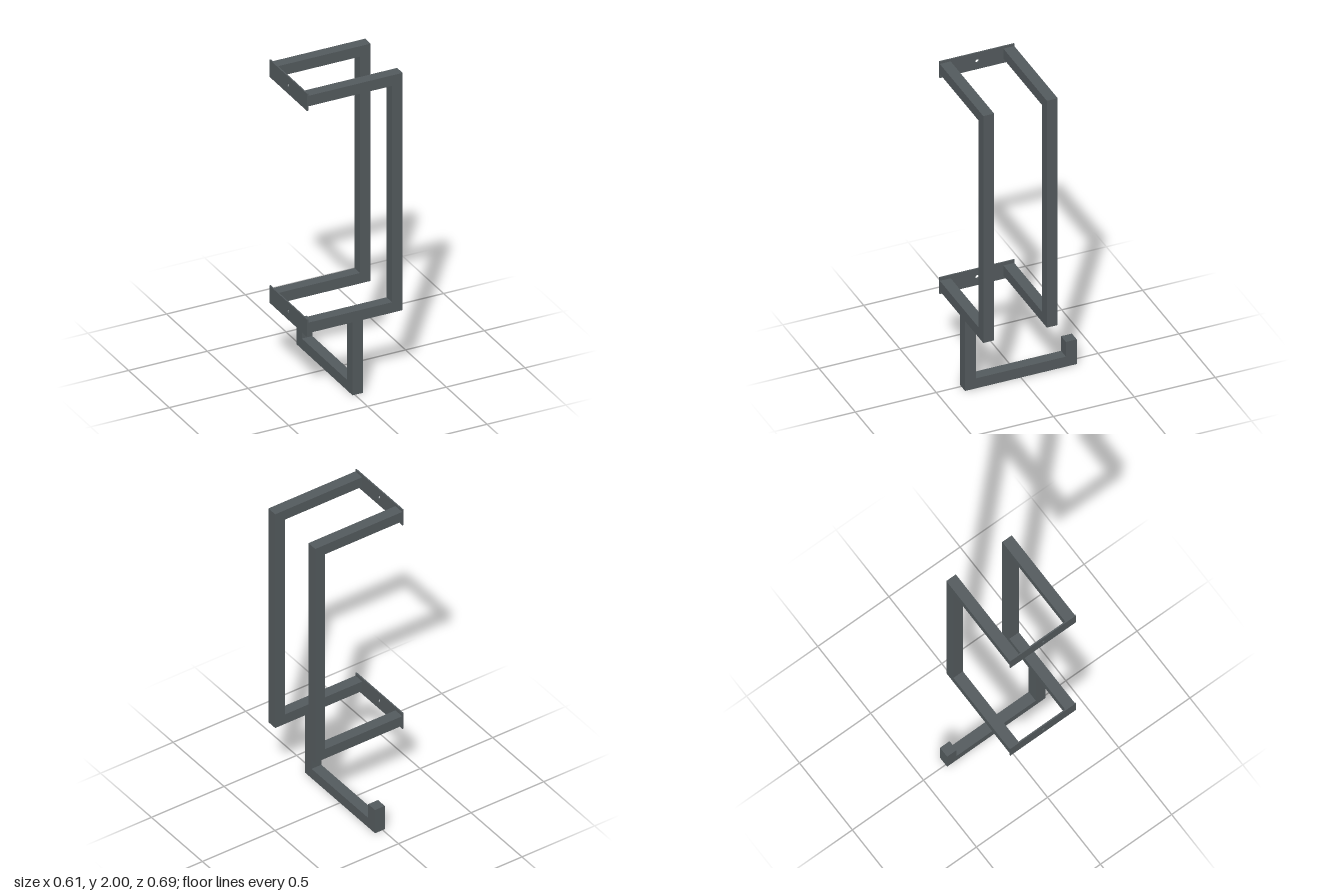
import * as THREE from 'three';

const T = 0.067; // bar thickness

// Extrude an outline, centred through its depth
function slab(points, depth, hole) {
  const shape = new THREE.Shape(points.map(([u, v]) => new THREE.Vector2(u, v)));
  if (hole) {
    const path = new THREE.Path();
    path.absarc(hole.u, hole.v, hole.r, 0, Math.PI * 2, true);
    shape.holes.push(path);
  }
  const geometry = new THREE.ExtrudeGeometry(shape, { depth, bevelEnabled: false, curveSegments: 12 });
  return geometry.translate(0, 0, -depth / 2);
}

export function createModel() {
  const group = new THREE.Group();
  const steel = new THREE.MeshStandardMaterial({ color: 0x545b5e });
  steel.name = 'darkSteel';

  const add = (name, geometry, x, y, z) => {
    const mesh = new THREE.Mesh(geometry, steel);
    mesh.name = name;
    mesh.position.set(x, y, z);
    group.add(mesh);
  };

  // Two C-shaped square-bar frames
  const [x0, x1, y0, y1] = [-0.297, 0.303, 0.467, 1.985];
  const frame = slab([
    [x0, y0], [x1, y0], [x1, y1], [x0, y1],
    [x0, y1 - T], [x1 - T, y1 - T], [x1 - T, y0 + T], [x0, y0 + T],
  ], T);
  add('frontFrame', frame, 0, 0, 0.3115);
  add('backFrame', frame, 0, 0, -0.0815);

  // Wall plates with a screw hole, joining the frame ends
  const w = 0.231, h = 0.055;
  const plate = slab([[-w, -h], [w, -h], [w, h], [-w, h]], 0.008, { u: 0, v: 0, r: 0.011 });
  plate.rotateY(-Math.PI / 2);
  add('upperWallPlate', plate, -0.3, 1.945, 0.114);
  add('lowerWallPlate', plate, -0.3, 0.5, 0.114);

  // Hook hanging under the front frame, with an upturned tip at the back
  const f = 0.345, b = -0.345;
  const hook = slab([
    [b, 0], [f, 0], [f, y0], [f - T, y0],
    [f - T, T], [b + T, T], [b + T, 0.165], [b, 0.165],
  ], T);
  hook.rotateY(-Math.PI / 2);
  add('hook', hook, 0.019, 0, 0);

  return group;
}
